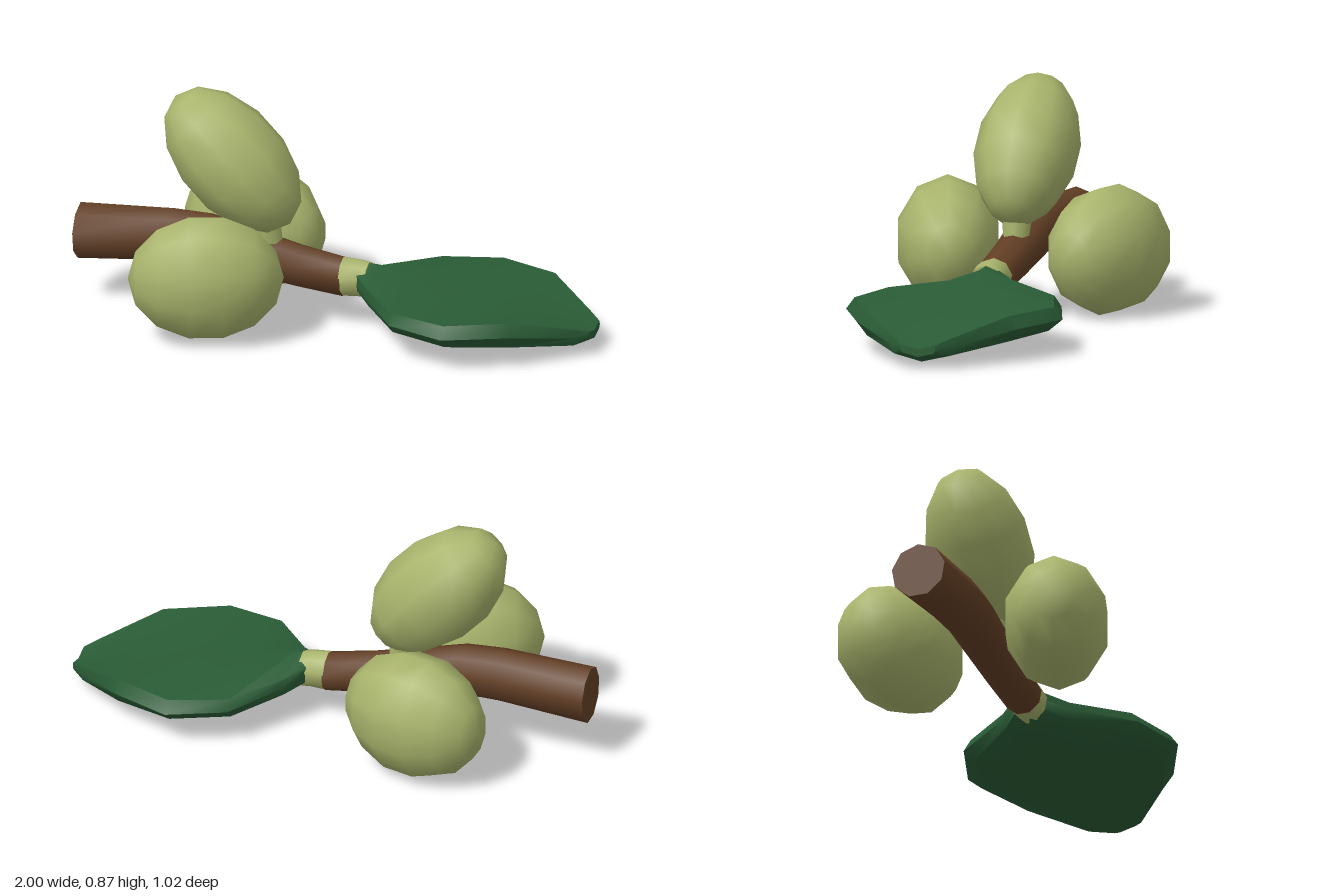
import * as THREE from 'three';
import { toCreasedNormals } from 'three/addons/utils/BufferGeometryUtils.js';

const mat = (name, color) => new THREE.MeshStandardMaterial({ name, color });

// Skins a row of closed rings running along +x and caps both ends.
function loft(rings, crease) {
  const n = rings[0].length, index = [];
  for (let i = 0; i < rings.length - 1; i++) {
    for (let j = 0; j < n; j++) {
      const a = i * n + j, b = i * n + (j + 1) % n;
      index.push(a, b, a + n, b, b + n, a + n);
    }
  }
  const end = (rings.length - 1) * n;
  for (let j = 1; j < n - 1; j++) {
    index.push(0, j + 1, j, end, end + j, end + j + 1);
  }
  const g = new THREE.BufferGeometry();
  g.setAttribute('position', new THREE.Float32BufferAttribute(rings.flat(2), 3));
  g.setIndex(index);
  return toCreasedNormals(g, crease);
}

// Ring of a round stem: x, centre height, radius, sideways shift.
function stemRing([x, y, r, z = 0]) {
  return Array.from({ length: 9 }, (_, j) => {
    const a = j / 9 * Math.PI * 2;
    return [x, y + r * Math.cos(a), z + r * Math.sin(a)];
  });
}

// Ring of the leaf: x, half width, then heights of ridge, rim top, rim bottom and keel.
function leafRing([x, w, ridge, top, bottom, keel]) {
  const mid = (top + bottom) / 2;
  return [
    [x, ridge, 0], [x, top, w * 0.92], [x, mid, w], [x, bottom, w * 0.87],
    [x, keel, 0], [x, bottom, -w * 0.87], [x, mid, -w], [x, top, -w * 0.92],
  ];
}

export function createModel() {
  const group = new THREE.Group();
  const bark = mat('bark brown', 0x633f25);
  const fruitGreen = mat('fruit green', 0xa9b46c);
  const leafGreen = mat('leaf green', 0x2a5c36);

  const add = (name, geometry, material) => {
    const mesh = new THREE.Mesh(geometry, material);
    mesh.name = name;
    group.add(mesh);
    return mesh;
  };

  // Bent, tapering twig
  add('branch', loft([
    [-1, 0.26, 0.107, -0.01], [-0.65, 0.285, 0.1], [-0.5, 0.285, 0.095],
    [-0.15, 0.215, 0.08], [0.03, 0.188, 0.074],
  ].map(stemRing), 0.9), bark);

  // Pale joint between twig and leaf
  add('leafJoint', loft([
    [0.025, 0.19, 0.074], [0.09, 0.19, 0.07], [0.125, 0.185, 0.068],
  ].map(stemRing), 0.9), fruitGreen);

  // Thick drooping leaf
  add('leaf', loft([
    [0.09, 0.06, 0.255, 0.22, 0.16, 0.125],
    [0.16, 0.145, 0.245, 0.195, 0.13, 0.1],
    [0.31, 0.35, 0.22, 0.185, 0.105, 0.055],
    [0.53, 0.42, 0.185, 0.18, 0.09, 0.04],
    [0.76, 0.31, 0.155, 0.18, 0.08, 0.02],
    [0.95, 0.12, 0.095, 0.115, 0.05, 0.025],
    [1, 0.07, 0.08, 0.095, 0.065, 0.05],
  ].map(leafRing), 0.75), leafGreen);

  // Three faceted fruits around the twig
  const fruits = [
    ['topFruit', [-0.405, 0.603, 0], [0.32, 0.2, 0.195], [0, 0, -0.8]],
    ['frontFruit', [-0.415, 0.243, 0.31], [0.29, 0.245, 0.2], [0, 0.32, 0]],
    ['backFruit', [-0.415, 0.24, -0.315], [0.29, 0.245, 0.2], [0, -0.32, 0]],
  ];
  for (const [name, position, size, rotation] of fruits) {
    const g = new THREE.SphereGeometry(1, 10, 7).rotateZ(Math.PI / 2);
    g.scale(...size);
    const fruit = add(name, g, fruitGreen);
    fruit.position.set(...position);
    fruit.rotation.set(...rotation);
  }

  // Short stalk under the upper fruit
  const stalk = add('fruitStalk', new THREE.CylinderGeometry(0.06, 0.05, 0.1, 8), fruitGreen);
  stalk.position.set(-0.27, 0.34, 0);
  stalk.rotation.z = 0.2;

  return group;
}
